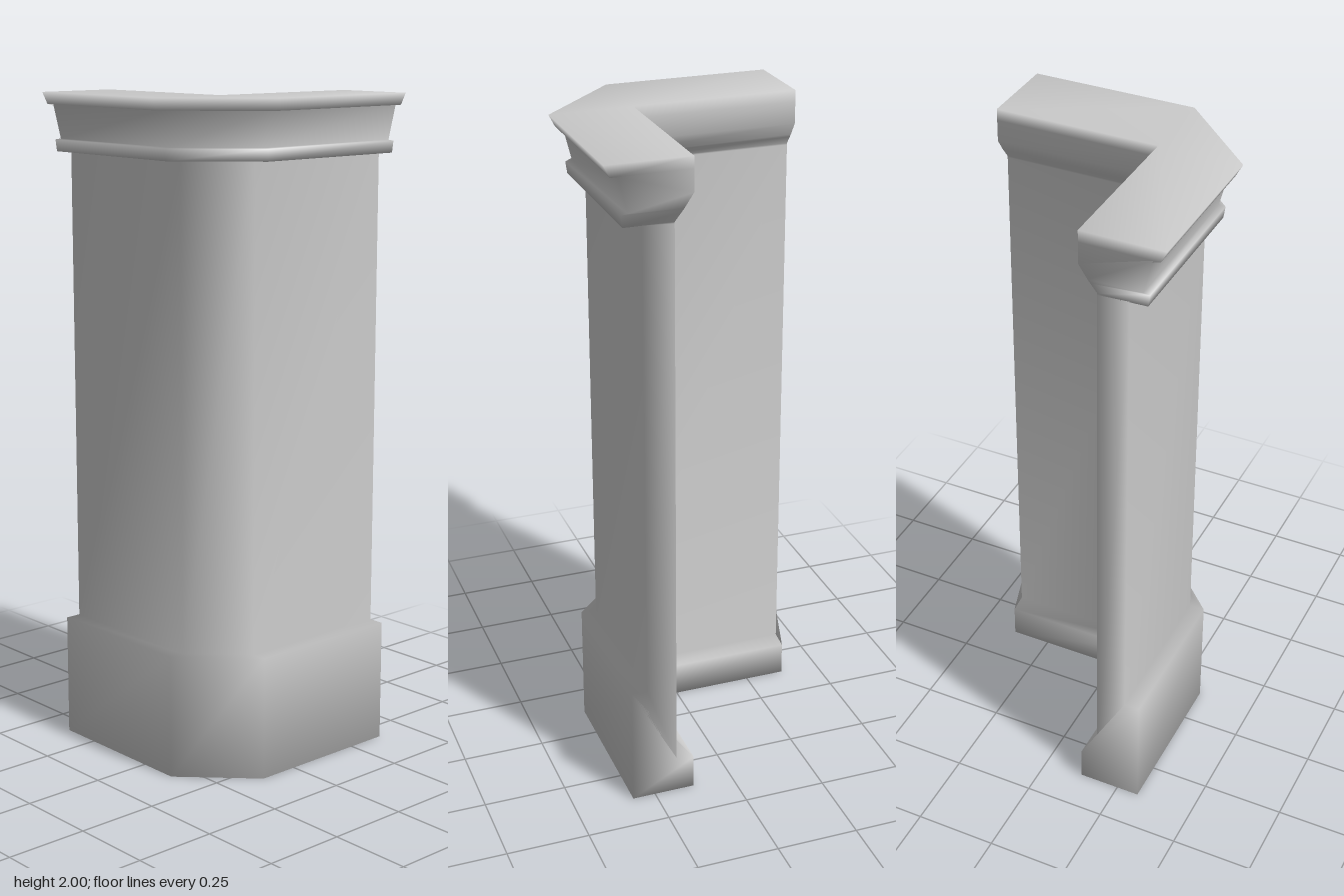
import * as THREE from 'three';

// Cross-sections from the ground up: [outer height, outer offset, inner height, inner offset]
const SECTIONS = [
  [0, 0.32, 0, 0.125],
  [0.375, 0.32, 0.105, 0.125],
  [0.375, 0.272, 0.115, 0.18],
  [1.825, 0.272, 1.82, 0.18],
  [1.825, 0.325, 1.825, 0.18],
  [1.86, 0.33, 1.85, 0.16],
  [1.862, 0.31, 1.86, 0.152],
  [1.965, 0.336, 1.9, 0.125],
  [1.965, 0.357, 1.965, 0.125],
  [2, 0.375, 2, 0.125],
];
const END = -0.375;   // free end of each wing
const BEND = 0.125;   // where the chamfered corner starts
const N = 7;          // points in one L-shaped outline

// L-shaped outline with a chamfered outer corner
function outline([yo, o, yi, i]) {
  return [
    [END, yo, o], [BEND, yo, o], [o, yo, BEND], [o, yo, END],
    [i, yi, END], [i, yi, i], [END, yi, i],
  ];
}

// Side faces between two consecutive section numbers
function walls(from, to) {
  const index = [];
  for (let s = from; s < to; s++) {
    for (let j = 0; j < N; j++) {
      const a = s * N + j, b = s * N + (j + 1) % N;
      index.push(a, b, b + N, a, b + N, a + N);
    }
  }
  return index;
}

// Flat L-shaped cover on one section
function cover(section, up) {
  const tris = [[0, 1, 5], [0, 5, 6], [1, 2, 5], [2, 3, 4], [2, 4, 5]];
  return tris.flatMap(([a, b, c]) => (up ? [a, b, c] : [a, c, b]).map((k) => section * N + k));
}

export function createModel() {
  const group = new THREE.Group();
  group.name = 'cornerPillar';
  const material = new THREE.MeshStandardMaterial({ color: 0xcccccc });

  const last = SECTIONS.length - 1;
  const parts = {
    base: [...cover(0, false), ...walls(0, 2)],
    shaft: walls(2, 3),
    cornice: [...walls(3, last), ...cover(last, true)],
  };

  // Smooth normals are shared across the joints of the parts
  const whole = new THREE.BufferGeometry();
  whole.setAttribute('position', new THREE.Float32BufferAttribute(SECTIONS.flatMap(outline).flat(), 3));
  whole.setIndex(Object.values(parts).flat());
  whole.computeVertexNormals();

  for (const [name, index] of Object.entries(parts)) {
    const geometry = new THREE.BufferGeometry();
    geometry.setAttribute('position', whole.getAttribute('position'));
    geometry.setAttribute('normal', whole.getAttribute('normal'));
    geometry.setIndex(index);
    const mesh = new THREE.Mesh(geometry, material);
    mesh.name = name;
    group.add(mesh);
  }
  return group;
}
